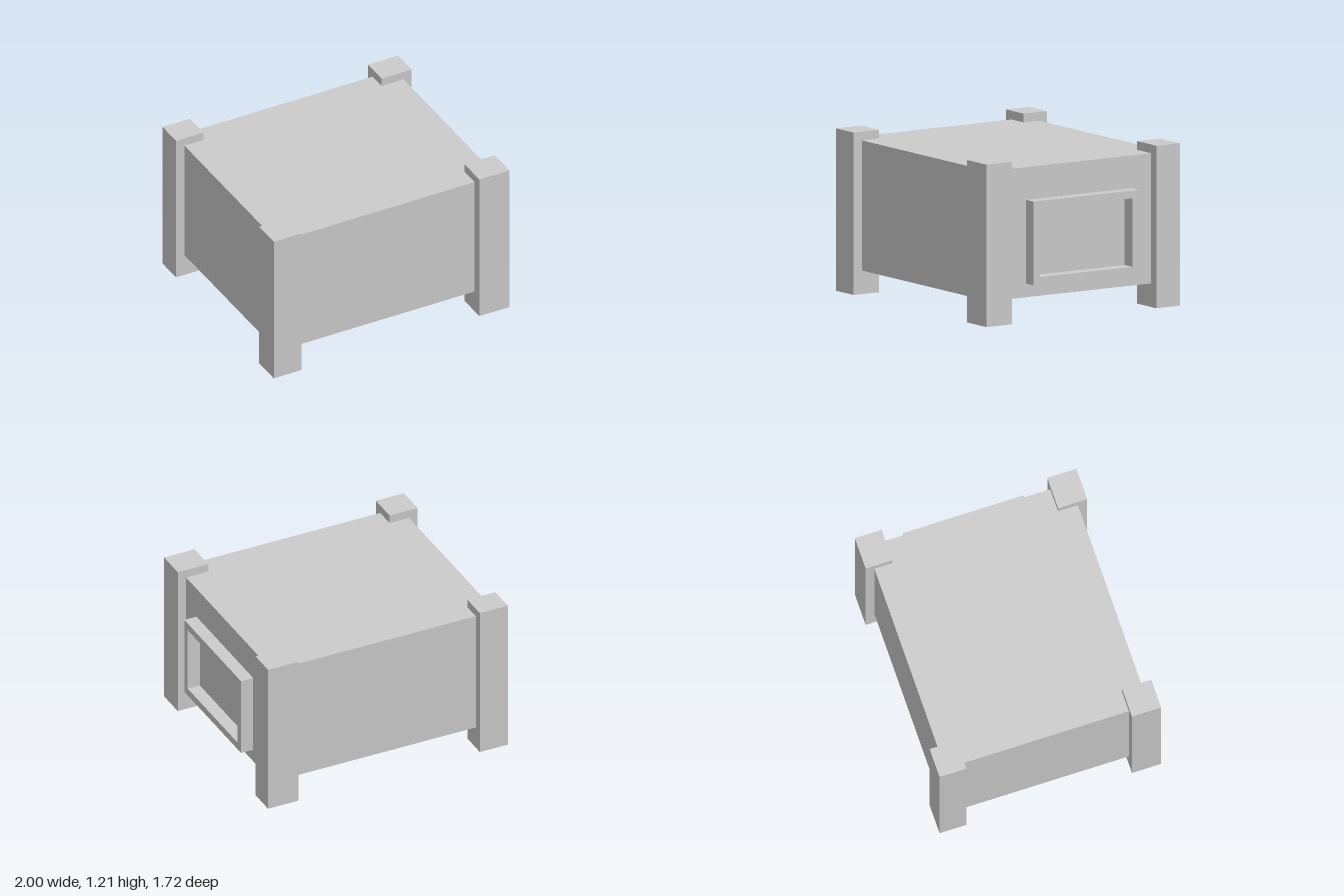
import * as THREE from 'three';

const material = new THREE.MeshStandardMaterial({ color: 0xcccccc, flatShading: true });

// Box given by its extents along each axis
function block(name, [x0, x1], [y0, y1], [z0, z1]) {
  const mesh = new THREE.Mesh(new THREE.BoxGeometry(x1 - x0, y1 - y0, z1 - z0), material);
  mesh.position.set((x0 + x1) / 2, (y0 + y1) / 2, (z0 + z1) / 2);
  mesh.name = name;
  return mesh;
}

function rectangle(path, x0, x1, y0, y1) {
  path.moveTo(x0, y0);
  path.lineTo(x1, y0);
  path.lineTo(x1, y1);
  path.lineTo(x0, y1);
  path.closePath();
  return path;
}

export function createModel() {
  const group = new THREE.Group();
  group.name = 'crate';

  // Main box
  group.add(block('body', [-0.93, 0.9], [0.176, 1.145], [-0.79, 0.786]));

  // Corner posts, standing proud above and below the body
  const sidesX = { right: [-1, -0.77], left: [0.717, 0.968] };
  const sidesZ = { back: [-0.858, -0.65], front: [0.632, 0.858] };
  for (const [z, rangeZ] of Object.entries(sidesZ)) {
    for (const [x, rangeX] of Object.entries(sidesX)) {
      group.add(block(`${z}${x === 'left' ? 'Left' : 'Right'}Post`, rangeX, [0, 1.21], rangeZ));
    }
  }

  // Raised rectangular frame on the left side, open through to the body
  const outline = rectangle(new THREE.Shape(), -0.46, 0.476, 0.277, 0.902);
  outline.holes.push(rectangle(new THREE.Path(), -0.405, 0.415, 0.335, 0.845));
  const frameGeometry = new THREE.ExtrudeGeometry(outline, { depth: 0.1, bevelEnabled: false });
  frameGeometry.rotateY(Math.PI / 2);
  const frame = new THREE.Mesh(frameGeometry, material);
  frame.position.x = 0.9;
  frame.name = 'sideFrame';
  group.add(frame);

  return group;
}
